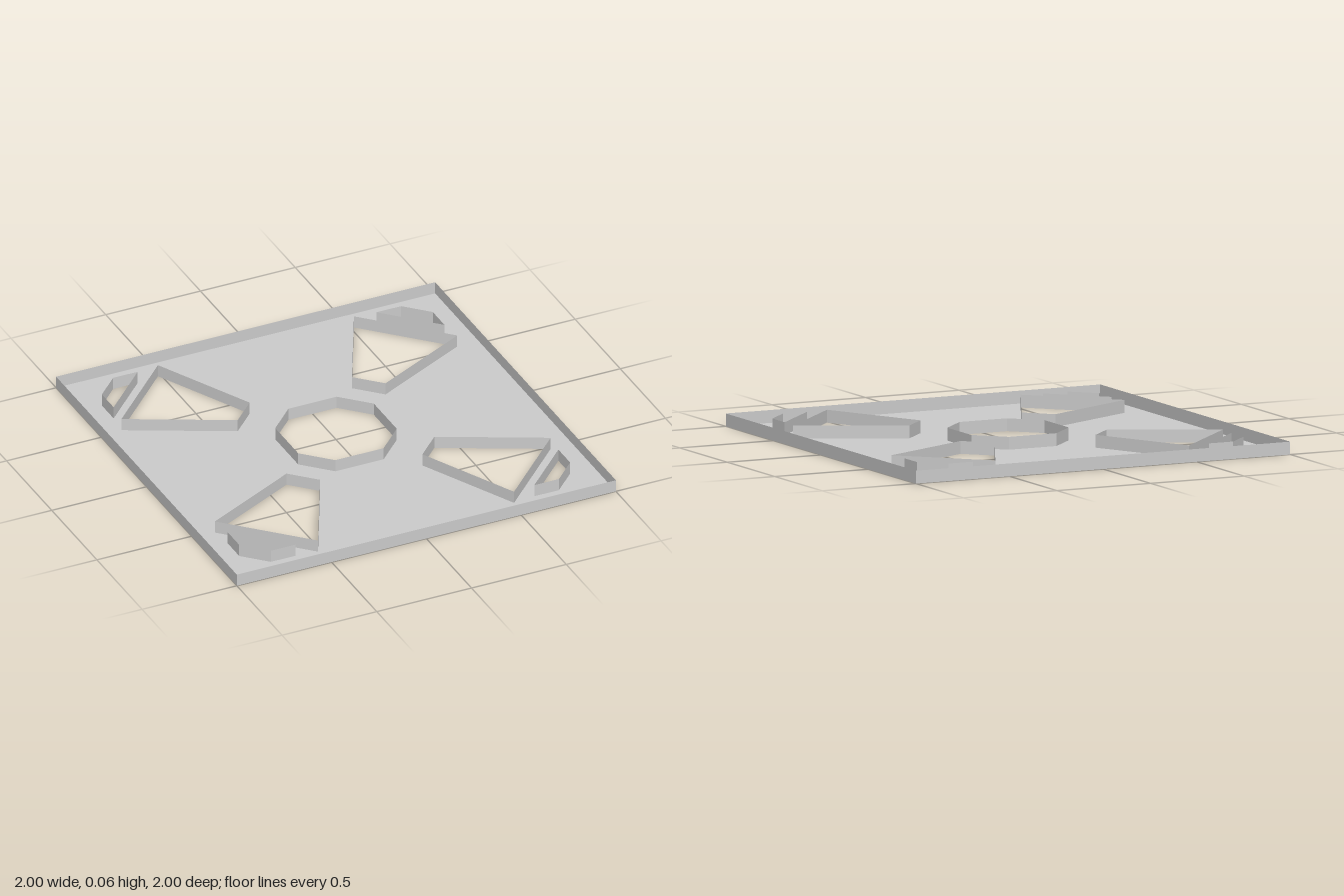
import * as THREE from 'three';

const HEIGHT = 0.062;

// Outlines as [x, z] corners
const border = [[-1, -1], [1, -1], [1, 1], [-1, 1]];
const octagon = [
  [0.26, 0.127], [0.127, 0.26], [-0.127, 0.26], [-0.26, 0.127],
  [-0.26, -0.127], [-0.127, -0.26], [0.127, -0.26], [0.26, -0.127],
];
const trapezoid = [[0.39, 0.27], [0.27, 0.39], [0.517, 0.886], [0.886, 0.517]];
const cornerSlot = [[0.873, 0.63], [0.873, 0.76], [0.76, 0.873], [0.63, 0.873]];

const quarterTurn = (pts, n) => {
  let out = pts;
  for (let i = 0; i < n; i++) out = out.map(([x, z]) => [-z, x]);
  return out;
};

const toVectors = (pts) => pts.map(([x, z]) => new THREE.Vector2(x, z));

// Thin upright strip following a closed outline
function wallGeometry(pts) {
  const pos = [];
  pts.forEach(([ax, az], i) => {
    const [bx, bz] = pts[(i + 1) % pts.length];
    pos.push(ax, 0, az, ax, HEIGHT, az, bx, HEIGHT, bz);
    pos.push(ax, 0, az, bx, HEIGHT, bz, bx, 0, bz);
  });
  const geo = new THREE.BufferGeometry();
  geo.setAttribute('position', new THREE.Float32BufferAttribute(pos, 3));
  geo.computeVertexNormals();
  return geo;
}

export function createModel() {
  const group = new THREE.Group();
  group.name = 'ventedTray';
  const material = new THREE.MeshStandardMaterial({
    color: 0xcccccc, flatShading: true, side: THREE.DoubleSide,
  });
  const add = (name, geometry) => {
    const mesh = new THREE.Mesh(geometry, material);
    mesh.name = name;
    group.add(mesh);
  };

  // Openings: one in the centre, two toward each corner
  const openings = [['centreOpeningWall', octagon]];
  for (let i = 0; i < 4; i++) {
    openings.push(['trapezoidOpeningWall', quarterTurn(trapezoid, i)]);
    openings.push(['cornerSlotWall', quarterTurn(cornerSlot, i)]);
  }

  // Floor sheet, open tray above it
  const floor = new THREE.Shape(toVectors(border));
  openings.forEach(([, pts]) => floor.holes.push(new THREE.Path(toVectors(pts))));
  add('floor', new THREE.ShapeGeometry(floor).rotateX(Math.PI / 2));

  // Raised walls around the border and each opening
  add('outerWall', wallGeometry([...border].reverse()));
  openings.forEach(([name, pts]) => add(name, wallGeometry(pts)));

  return group;
}
